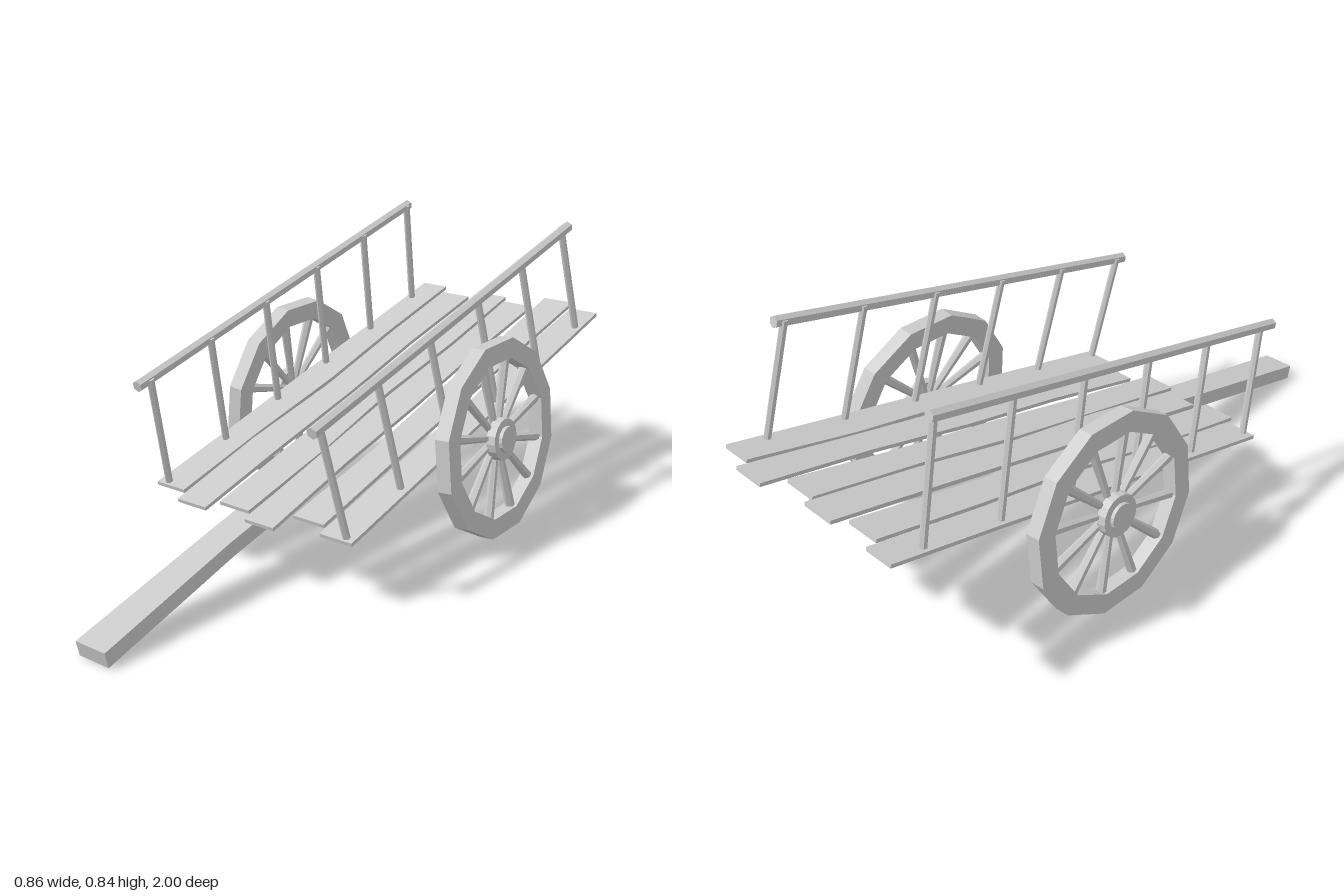
import * as THREE from 'three';

const material = new THREE.MeshStandardMaterial({ color: 0xcccccc, flatShading: true });
const SLOPE = 0.229; // pitch of the whole bed
const SPOKES = 12;

function add(parent, geometry, name) {
  const mesh = new THREE.Mesh(geometry, material);
  mesh.name = name;
  parent.add(mesh);
  return mesh;
}

// Round bar between two points, tapering from r0 to r1
function bar(parent, a, b, r0, r1, sides, name) {
  const dir = b.clone().sub(a);
  const mesh = add(parent, new THREE.CylinderGeometry(r1, r0, dir.length(), sides), name);
  mesh.position.copy(a).addScaledVector(dir, 0.5);
  mesh.quaternion.setFromUnitVectors(new THREE.Vector3(0, 1, 0), dir.normalize());
  return mesh;
}

// Uneven board: left and right edge x at five stations from front to back
function board(parent, left, right, zFront, zBack, bottom, top, name) {
  const g = new THREE.BoxGeometry(1, 1, 1, 1, 1, 4);
  const p = g.attributes.position;
  for (let i = 0; i < p.count; i++) {
    const t = 0.5 - p.getZ(i);
    const edge = p.getX(i) < 0 ? left : right;
    p.setXYZ(i, edge[Math.round(t * 4)], p.getY(i) < 0 ? bottom : top,
      (zFront + (zBack - zFront) * t) / Math.cos(SLOPE));
  }
  return add(parent, g, name);
}

// Wheel with its axis along x, outer side facing +x
function makeWheel() {
  const wheel = new THREE.Group();
  const ring = r => Array.from({ length: SPOKES }, (_, i) => {
    const a = ((i + 0.5) / SPOKES) * Math.PI * 2;
    return new THREE.Vector2(Math.cos(a) * r, Math.sin(a) * r);
  });
  const shape = new THREE.Shape(ring(0.297));
  shape.holes.push(new THREE.Path(ring(0.238)));
  const rim = new THREE.ExtrudeGeometry(shape, { depth: 0.045, bevelEnabled: false });
  rim.translate(0, 0, -0.0225).rotateY(Math.PI / 2);
  add(wheel, rim, 'rim');

  for (let i = 0; i < SPOKES; i++) {
    const a = ((i + 0.5) / SPOKES) * Math.PI * 2;
    const end = new THREE.Vector3(0, Math.sin(a) * 0.245, Math.cos(a) * 0.245);
    bar(wheel, new THREE.Vector3(), end, 0.010, 0.015, 6, 'spoke');
  }

  // Stepped hub on the outer side only
  for (const [r, x0, x1, name] of [[0.064, 0.004, 0.031, 'hub'], [0.04, 0.03, 0.041, 'hubCap']]) {
    bar(wheel, new THREE.Vector3(x0, 0, 0), new THREE.Vector3(x1, 0, 0), r, r * 0.97, 16, name);
  }
  return wheel;
}

export function createModel() {
  const cart = new THREE.Group();
  cart.name = 'handCart';

  // Bed, its local y = 0 being the top of the draw beam
  const bed = new THREE.Group();
  bed.name = 'bed';
  bed.position.y = 0.279;
  bed.rotation.x = SLOPE;
  cart.add(bed);

  board(bed, [-0.055, -0.055, -0.05, -0.05, -0.05], [0.047, 0.035, 0.045, 0.04, 0.045],
    1, -0.91, -0.046, 0, 'drawBeam');

  const planks = [
    [[-0.35, -0.345, -0.345, -0.34, -0.338], [-0.247, -0.247, -0.237, -0.247, -0.247], 0.40, -0.96],
    [[-0.233, -0.24, -0.223, -0.233, -0.233], [-0.129, -0.131, -0.127, -0.134, -0.129], 0.44, -0.92],
    [[-0.11, -0.11, -0.11, -0.108, -0.11], [-0.005, 0, -0.014, -0.002, -0.005], 0.40, -0.96],
    [[0.01, 0.006, 0, 0.011, 0.006], [0.11, 0.102, 0.108, 0.103, 0.11], 0.435, -0.93],
    [[0.124, 0.133, 0.125, 0.133, 0.124], [0.227, 0.225, 0.227, 0.225, 0.227], 0.365, -1.0],
    [[0.241, 0.241, 0.25, 0.235, 0.243], [0.345, 0.345, 0.343, 0.34, 0.338], 0.40, -0.96],
  ];
  for (const [l, r, z0, z1] of planks) board(bed, l, r, z0, z1, 0, 0.011, 'plank');

  for (const s of [1, -1]) {
    // Side rail on splayed posts
    const side = new THREE.Group();
    side.name = s > 0 ? 'leftRailing' : 'rightRailing';
    cart.add(side);
    bar(side, new THREE.Vector3(s * 0.302, 0.523, 0.51), new THREE.Vector3(s * 0.302, 0.825, -0.79),
      0.017, 0.017, 6, 'rail');
    for (let i = 0; i < 6; i++) {
      const z = 0.47 - i * 0.247, y = 0.537 + i * 0.0577;
      bar(side, new THREE.Vector3(s * 0.318, y - 0.338, z - 0.083), new THREE.Vector3(s * 0.291, y, z),
        0.011, 0.011, 6, 'post');
    }

    // Wheels lean outward at the ground
    const wheel = makeWheel();
    wheel.name = s > 0 ? 'leftWheel' : 'rightWheel';
    wheel.position.set(s * 0.382, 0.297, -0.26);
    wheel.rotation.set(0, s > 0 ? 0 : Math.PI, 0.087);
    cart.add(wheel);
  }
  return cart;
}
